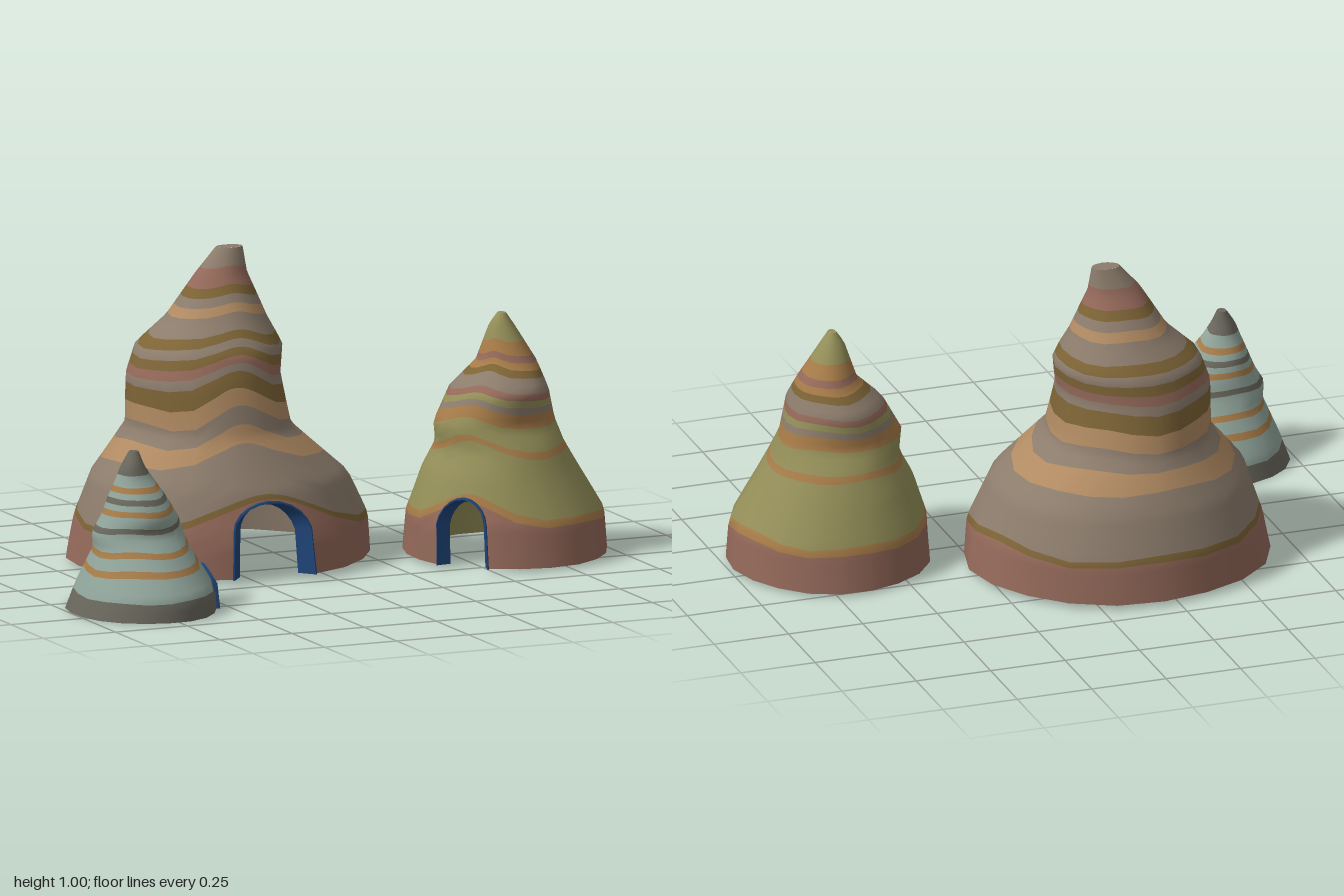
import * as THREE from 'three';

// Clay colours, one letter each: red, grey, tan, olive, moss, amber, dark, blue-grey
const CLAY = { R: 0x94695a, G: 0x8c7c6c, T: 0xb08a62, O: 0x7d6436, M: 0x938e58, A: 0xa67b48, D: 0x69675c, B: 0x8fa399 };
const FRAME_BLUE = 0x1f4478;

const range = (n, a, b) => Array.from({ length: n + 1 }, (_, i) => a + (b - a) * i / n);
const emptyData = () => ({ pos: [], nor: [], idx: [] });

function addMesh(group, name, color, data, side = THREE.FrontSide) {
  const g = new THREE.BufferGeometry();
  g.setAttribute('position', new THREE.Float32BufferAttribute(data.pos, 3));
  g.setIndex(data.idx);
  if (data.nor.length) g.setAttribute('normal', new THREE.Float32BufferAttribute(data.nor, 3));
  else g.computeVertexNormals();
  const mesh = new THREE.Mesh(g, new THREE.MeshStandardMaterial({ color, side }));
  mesh.name = name;
  group.add(mesh);
}

// Grid of points: cols columns by rows + 1 points each, optionally with normals
function addGrid(data, cols, rows, point, normal, flip = false) {
  const base = data.pos.length / 3, w = rows + 1;
  for (let i = 0; i < cols; i++) for (let j = 0; j <= rows; j++) {
    data.pos.push(...point(i, j));
    if (normal) data.nor.push(...normal(i, j));
  }
  for (let i = 0; i < cols - 1; i++) for (let j = 0; j < rows; j++) {
    const a = base + i * w + j, b = a + w, c = b + 1, d = a + 1;
    data.idx.push(...(flip ? [a, c, b, a, d, c] : [a, b, c, a, c, d]));
  }
}

// profile rows: [y, xMin, xMax, zMin, zMax]
// lower: tops of the three lowest strata; above them, one letter per equal stratum
function buildHut({ name, door, half, height, wall, lift, inside, profile, lower, clay }) {
  const group = new THREE.Group();
  group.name = name;
  const last = profile[profile.length - 1], y0 = profile[0][0], top = last[0];

  // Point on the leaning, uneven cone; inset moves it towards the axis
  const surface = (t, y, inset = 0) => {
    let k = 0;
    while (k < profile.length - 2 && y > profile[k + 1][0]) k++;
    const p = profile[k], q = profile[k + 1], f = (y - p[0]) / (q[0] - p[0]);
    const [x0, x1, z0, z1] = [1, 2, 3, 4].map(c => p[c] + (q[c] - p[c]) * f);
    const wobble = 1 + 0.012 * Math.sin(5 * t + 9 * y);
    const rx = Math.max((x1 - x0) / 2 * wobble - inset, 0.008), rz = Math.max((z1 - z0) / 2 * wobble - inset, 0.008);
    return new THREE.Vector3((x0 + x1) / 2 + rx * Math.sin(t), y, (z0 + z1) / 2 + rz * Math.cos(t));
  };
  const normalAt = (t, y, sign) => {
    const e = 0.018, yc = Math.min(Math.max(y, y0 + e), top - e);
    const dt = surface(t + 0.1, yc).sub(surface(t - 0.1, yc));
    const dy = surface(t, yc + e).sub(surface(t, yc - e));
    return dt.cross(dy).normalize().multiplyScalar(sign);
  };

  // Wall columns around the hut, then columns over the door arch
  const arch = u => 0.62 + 0.38 * Math.sqrt(Math.max(0, 1 - u * u));
  const archU = range(10, -Math.PI / 2, Math.PI / 2).map(Math.sin);
  const columns = (a, h) => [
    range(18, door + a, door + 2 * Math.PI - a).map(t => ({ t, low: y0 })),
    archU.map(u => ({ t: door + u * a, low: y0 + (h - y0) * arch(u) }))
  ];
  const innerHalf = half * 0.8;
  const outer = columns(half, height), inner = columns(innerHalf, height - 0.012);

  // Strata edges: wavy, and lifted above the door
  const edge = (t, y) => {
    if (y === y0) return y0;
    const d = Math.atan2(Math.sin(t - door), Math.cos(t - door));
    const wave = 0.07 * (Math.sin(3 * t + 14 * y) + Math.sin(5 * t - 9 * y));
    return y + (1 - y / top) * lift * (Math.exp(-((d / 0.5) ** 2)) + wave);
  };

  // Coloured strata, gathered by colour
  const strata = {};
  const levels = [y0, ...lower, ...range(clay.length - 3, lower[2], top).slice(1)];
  [...clay].forEach((letter, s) => {
    const data = strata[letter] ??= emptyData();
    const rows = Math.ceil((levels[s + 1] - levels[s]) / 0.03);
    for (const cols of outer) {
      const yAt = (i, j) => {
        const { t, low } = cols[i];
        const a = Math.max(low, edge(t, levels[s])), b = Math.max(a, edge(t, levels[s + 1]));
        return a + (b - a) * j / rows;
      };
      addGrid(data, cols.length, rows, (i, j) => surface(cols[i].t, yAt(i, j)),
        (i, j) => normalAt(cols[i].t, yAt(i, j), 1));
    }
  });

  // Tip cap
  const ring = range(16, 0, 2 * Math.PI);
  const tip = new THREE.Vector3((last[1] + last[2]) / 2, top, (last[3] + last[4]) / 2);
  addGrid(strata[clay.at(-1)], ring.length, 1, (i, j) => j ? tip : surface(ring[i], top), () => [0, 1, 0]);
  for (const letter in strata) addMesh(group, 'strata' + letter, CLAY[letter], strata[letter]);

  // Hollow interior
  const lining = emptyData(), ceiling = y0 + (top - y0) * 0.86;
  for (const cols of inner) {
    const yAt = (i, j) => cols[i].low + (ceiling - cols[i].low) * j / 16;
    addGrid(lining, cols.length, 16, (i, j) => surface(cols[i].t, yAt(i, j), wall),
      (i, j) => normalAt(cols[i].t, yAt(i, j), -1), true);
  }
  const peak = surface(0, ceiling, wall).add(surface(Math.PI, ceiling, wall)).multiplyScalar(0.5);
  addGrid(lining, ring.length, 1, (i, j) => j ? peak : surface(ring[i], ceiling, wall), () => [0, -1, 0], true);
  addMesh(group, 'interior', CLAY[inside], lining);

  // Underside of the wall
  const rim = emptyData();
  addGrid(rim, outer[0].length, 1,
    (i, j) => j ? surface(outer[0][i].t, y0) : surface(inner[0][i].t, y0, wall), () => [0, -1, 0]);
  addMesh(group, 'wallBase', CLAY[clay[0]], rim);

  // Door frame: a slim lip outside, then the reveal running through the wall
  const path = [[-1, 0], ...archU.map(u => [u, arch(u)]), [1, 0]];
  const frame = emptyData();
  const layers = [[1.03, 0.006, 0], [1.03, 0.006, -0.012], [1, 0, -0.012], [innerHalf / half, -0.012, wall]];
  for (let k = 0; k < 3; k++) addGrid(frame, path.length, 1, (i, j) => {
    const [u, v] = path[i], [s, dh, inset] = layers[k + j];
    return surface(door + u * s * half, y0 + (height + dh - y0) * v, inset);
  });
  addMesh(group, 'doorFrame', FRAME_BLUE, frame, THREE.DoubleSide);
  return group;
}

export function createModel() {
  const model = new THREE.Group();
  model.name = 'hutVillage';
  model.add(buildHut({
    name: 'largeHut', door: 0, half: 0.28, height: 0.25, wall: 0.045, lift: 0.14, inside: 'G',
    lower: [0.14, 0.16, 0.34], clay: 'ROGTTGGTTOOGROGOGGTGORRGG',
    profile: [
      [0.015, -0.69, 0.29, -0.685, 0.21], [0.14, -0.67, 0.275, -0.67, 0.2], [0.28, -0.62, 0.21, -0.62, 0.15],
      [0.44, -0.49, 0.03, -0.535, 0.05], [0.6, -0.49, 0, -0.5, 0.01], [0.69, -0.46, 0.01, -0.48, -0.02],
      [0.78, -0.36, -0.04, -0.41, -0.09], [0.92, -0.27, -0.1, -0.315, -0.18], [1, -0.2, -0.11, -0.28, -0.22]]
  }));
  model.add(buildHut({
    name: 'mediumHut', door: -0.87, half: 0.26, height: 0.22, wall: 0.035, lift: 0.1, inside: 'M',
    lower: [0.13, 0.155, 0.34], clay: 'RAMAMMMAAGMRGGOARAAMMMM',
    profile: [
      [0.01, 0.345, 0.99, -0.28, 0.39], [0.14, 0.35, 0.98, -0.26, 0.365], [0.28, 0.4, 0.9, -0.205, 0.3],
      [0.36, 0.445, 0.855, -0.17, 0.265], [0.43, 0.435, 0.83, -0.13, 0.225], [0.54, 0.495, 0.8, -0.125, 0.23],
      [0.62, 0.58, 0.77, -0.06, 0.15], [0.74, 0.62, 0.695, 0.005, 0.083], [0.775, 0.645, 0.67, 0.03, 0.065]]
  }));
  model.add(buildHut({
    name: 'smallHut', door: 1.46, half: 0.26, height: 0.13, wall: 0.025, lift: 0.06, inside: 'B',
    lower: [0.06, 0.13, 0.15], clay: 'DBABBABBBDBBABDBABBDDDD',
    profile: [
      [0, -1, -0.53, 0.165, 0.69], [0.07, -0.975, -0.535, 0.18, 0.68], [0.2, -0.915, -0.61, 0.26, 0.575],
      [0.25, -0.92, -0.625, 0.285, 0.53], [0.3, -0.89, -0.645, 0.295, 0.535], [0.36, -0.865, -0.68, 0.315, 0.505],
      [0.42, -0.84, -0.72, 0.355, 0.46], [0.46, -0.825, -0.75, 0.37, 0.45], [0.505, -0.795, -0.765, 0.385, 0.42]]
  }));
  return model;
}
